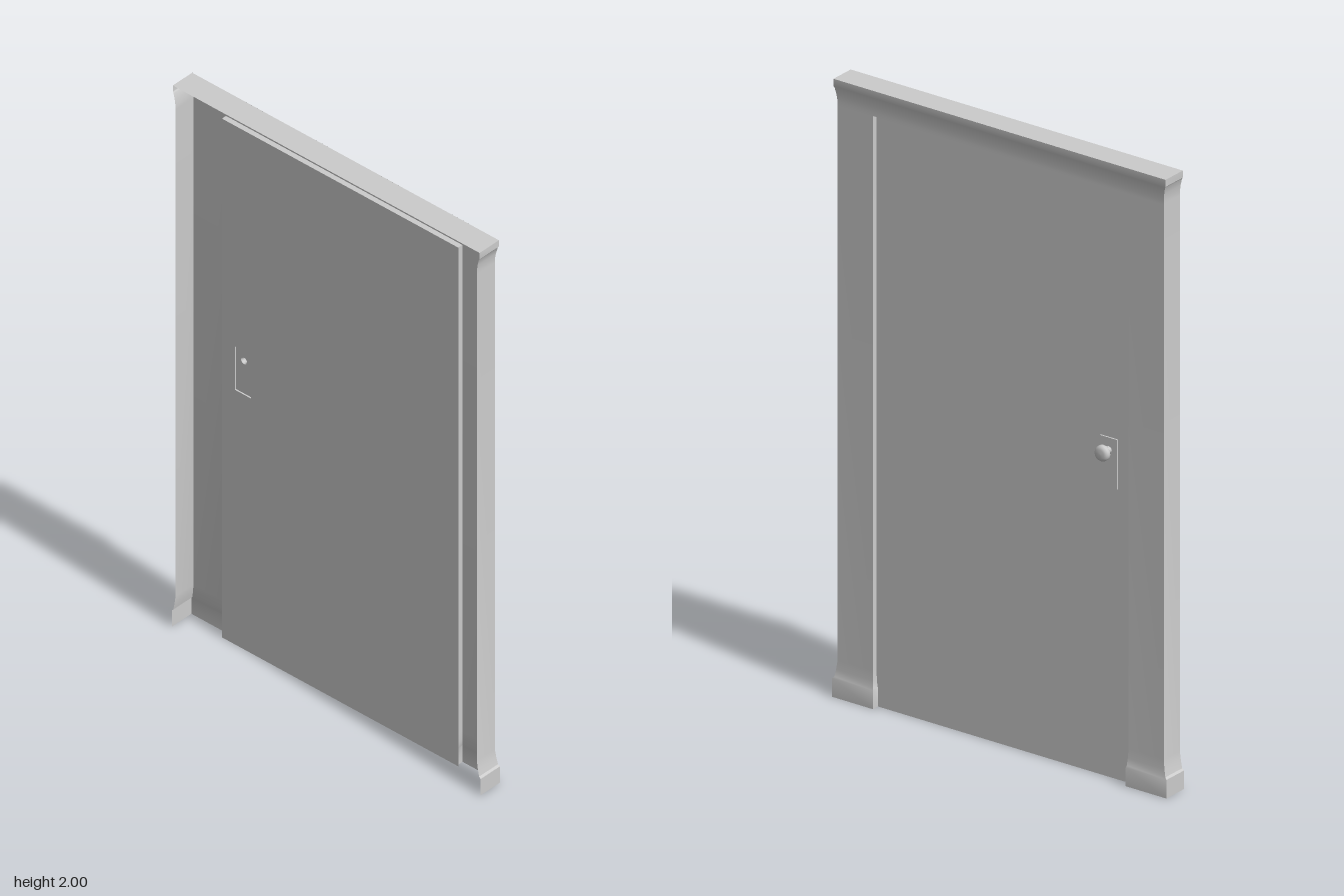
import * as THREE from 'three';
import { toCreasedNormals } from 'three/addons/utils/BufferGeometryUtils.js';

const BACK = -0.055, FRONT = 0.024, DOOR_X = 0.006;
const HALF = 0.603, OPEN = 0.473, OPEN_TOP = 1.915;
const KNOB_Y = 1.06, KNOB_Z = -0.389;

const material = new THREE.MeshStandardMaterial({ color: 0xcccccc, side: THREE.DoubleSide });

function addMesh(parent, name, geometry) {
  const mesh = new THREE.Mesh(geometry, material);
  mesh.name = name;
  parent.add(mesh);
  return mesh;
}

// Skin between rows of [x, y, z] points, all rows equally long
function loft(rows) {
  const n = rows[0].length;
  const index = [];
  for (let r = 0; r < rows.length - 1; r++) {
    for (let i = 0; i < n - 1; i++) {
      const a = r * n + i, b = a + n;
      index.push(a, b, a + 1, a + 1, b, b + 1);
    }
  }
  const g = new THREE.BufferGeometry();
  g.setAttribute('position', new THREE.Float32BufferAttribute(rows.flat(2), 3));
  g.setIndex(index);
  return toCreasedNormals(g, 0.5);
}

// Flat sheet facing +x, outlined in (-z, y), with optional hole
function sheet(x, z0, z1, y0, y1, hole) {
  const shape = new THREE.Shape([[-z1, y0], [-z0, y0], [-z0, y1], [-z1, y1]].map(p => new THREE.Vector2(...p)));
  if (hole) shape.holes.push(hole);
  return new THREE.ShapeGeometry(shape).rotateY(Math.PI / 2).translate(x, 0, 0);
}

export function createModel() {
  const model = new THREE.Group();
  model.name = 'framedDoor';

  // Jambs: open-backed posts with a flared plinth, [height, outward offset]
  const plinth = [[0, 0.015], [0.06, 0.015], [0.066, 0.009], [0.09, 0.004], [0.12, 0], [OPEN_TOP, 0]];
  for (const [name, s] of [['leftJamb', 1], ['rightJamb', -1]]) {
    const rows = plinth.map(([y, o]) => {
      const path = [
        [BACK, y, s * (HALF + o)],
        [FRONT + o * 0.47, y, s * (HALF + o)],
        [FRONT + o * 0.47, y, s * (OPEN - o * 0.4)],
        [DOOR_X, y, s * (OPEN - o * 0.4)],
      ];
      return s > 0 ? path : path.reverse();
    });
    addMesh(model, name, loft(rows));
  }

  // Header with a flared crown and flat cap
  const crown = [[OPEN_TOP, 0], [1.928, 0], [1.95, 0.003], [1.973, 0.008], [1.977, 0.011], [2, 0.011]];
  addMesh(model, 'header', loft(crown.map(([y, o]) => [
    [BACK, y, HALF + o],
    [FRONT + o * 0.55, y, HALF + o],
    [FRONT + o * 0.55, y, -HALF - o],
    [BACK, y, -HALF - o],
  ])));
  const capZ = HALF + 0.011, capX = FRONT + 0.006;
  addMesh(model, 'headerCap', loft([
    [[BACK, 2, -capZ], [BACK, 2, capZ]],
    [[capX, 2, -capZ], [capX, 2, capZ]],
  ]));
  addMesh(model, 'headerReveal', loft([
    [[DOOR_X, OPEN_TOP, OPEN], [DOOR_X, OPEN_TOP, -OPEN]],
    [[FRONT, OPEN_TOP, OPEN], [FRONT, OPEN_TOP, -OPEN]],
  ]));

  // Door leaf, a thin sheet pressed out at the lock plate
  const pz0 = KNOB_Z - 0.032, pz1 = KNOB_Z + 0.032, py0 = 0.94, py1 = 1.1;
  const plateX = DOOR_X + 0.005;
  const plateCorners = [[-pz1, py0], [-pz1, py1], [-pz0, py1], [-pz0, py0]];
  const opening = new THREE.Path(plateCorners.map(p => new THREE.Vector2(...p)));
  addMesh(model, 'doorLeaf', sheet(DOOR_X, -OPEN, OPEN, 0, OPEN_TOP, opening));

  // Lock plate: face with a stem hole, and its rim
  const lock = new THREE.Group();
  lock.name = 'lockPlate';
  model.add(lock);
  const stemHole = new THREE.Path().absarc(-KNOB_Z, KNOB_Y, 0.012, 0, Math.PI * 2, true);
  addMesh(lock, 'plateFace', sheet(plateX, pz0, pz1, py0, py1, stemHole));
  const ring = x => [...plateCorners, plateCorners[0]].map(([u, y]) => [x, y, -u]);
  addMesh(lock, 'plateRim', loft([ring(plateX), ring(DOOR_X)]));

  // Knob turned about the x axis, [radius, distance from plate]
  const profile = [[0.012, 0], [0.009, 0.006], [0.009, 0.014], [0.014, 0.019], [0.022, 0.021],
    [0.0255, 0.025], [0.0255, 0.034], [0.022, 0.04], [0.014, 0.043], [0, 0.0435]];
  const knob = addMesh(model, 'knob',
    new THREE.LatheGeometry(profile.map(p => new THREE.Vector2(...p)), 16));
  knob.rotation.z = -Math.PI / 2;
  knob.position.set(plateX, KNOB_Y, KNOB_Z);

  return model;
}
